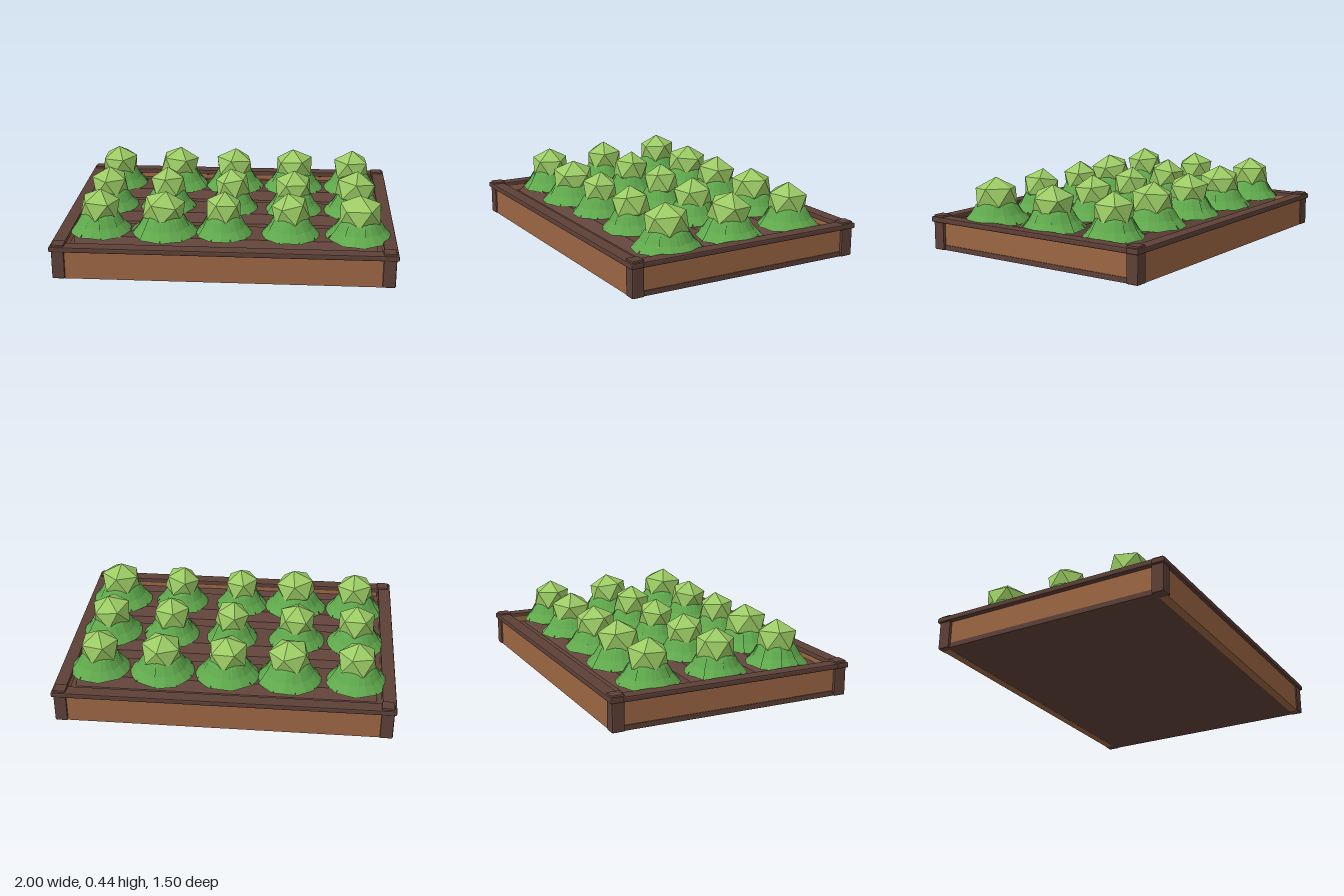
import * as THREE from 'three';
import { RoundedBoxGeometry } from 'three/addons/geometries/RoundedBoxGeometry.js';

const mat = (name, color, side = THREE.FrontSide) => {
  const m = new THREE.MeshStandardMaterial({ color, side, flatShading: true });
  m.name = name;
  return m;
};

export function createModel() {
  const group = new THREE.Group();
  group.name = 'vegetableBed';
  const timber = mat('dark timber', 0x5d4037);
  const plank = mat('plank wood', 0x9c6643);
  const soil = mat('soil', 0x60433a);
  const leaf = mat('outer leaf green', 0x5fa84c, THREE.DoubleSide);
  const head = mat('heart green', 0x9ccc65);

  let seed = 7;
  const rnd = () => (seed = (seed * 16807) % 2147483647) / 2147483647;
  const add = (name, geo, material, x = 0, y = 0, z = 0, parent = group) => {
    const m = new THREE.Mesh(geo, material);
    m.name = name;
    m.position.set(x, y, z);
    parent.add(m);
    return m;
  };
  const block = (name, w, h, d, material, x, y, z, r = 0.008) =>
    add(name, new RoundedBoxGeometry(w, h, d, 1, r), material, x, y, z);

  // Base, planks, top rails and corner posts
  add('base', new THREE.BoxGeometry(1.95, 0.03, 1.44), timber, 0, 0.016, 0);
  for (const s of [-1, 1]) {
    add('longPlank', new THREE.BoxGeometry(1.9, 0.178, 0.05), plank, 0, 0.089, s * 0.705);
    add('shortPlank', new THREE.BoxGeometry(0.05, 0.145, 1.4), plank, s * 0.945, 0.1025, 0);
    block('longRail', 2, 0.033, 0.08, timber, 0, 0.184, s * 0.71);
    block('shortRail', 0.08, 0.033, 1.36, timber, s * 0.96, 0.184, 0);
    for (const t of [-1, 1])
      block('cornerPost', 0.075, 0.212, 0.075, timber, s * 0.9505, 0.106, t * 0.7025);
  }

  // Soil bed with three tapered ridges
  add('soilBed', new THREE.BoxGeometry(1.87, 0.11, 1.37), soil, 0, 0.085, 0);
  const profile = new THREE.Shape([[-0.165, 0], [0.165, 0], [0.105, 0.05], [-0.105, 0.05]]
    .map(([x, y]) => new THREE.Vector2(x, y)));
  const ridge = new THREE.ExtrudeGeometry(profile, { depth: 1.78, bevelEnabled: false });
  ridge.translate(0, 0, -0.89).rotateY(Math.PI / 2);
  for (const z of [-0.42, 0, 0.42]) add('soilRidge', ridge, soil, 0, 0.135, z);

  // One drooping leaf: cross-sections of radius, height, half width
  const rows = [[0.085, 0.32, 0.04], [0.115, 0.285, 0.05], [0.145, 0.235, 0.06], [0.192, 0.188, 0.064]];
  const pos = [], index = [];
  rows.forEach(([r, y, w], i) => {
    for (const k of [-1, 0, 1]) pos.push(k * w, y - (k ? 0.006 : 0), k ? r * 0.955 : r);
    if (i) for (const k of [0, 1]) {
      const a = (i - 1) * 3 + k, b = i * 3 + k;
      index.push(a, b, b + 1, a, b + 1, a + 1);
    }
  });
  const leafGeo = new THREE.BufferGeometry();
  leafGeo.setAttribute('position', new THREE.Float32BufferAttribute(pos, 3));
  leafGeo.setIndex(index);
  leafGeo.computeVertexNormals();

  // Heart with a vertex pointing up, slightly flattened
  const heartGeo = new THREE.IcosahedronGeometry(0.135, 0);
  heartGeo.rotateZ(-Math.atan(2 / (1 + Math.sqrt(5)))).scale(1, 0.86, 1);

  // Plants: x, z, size
  const plants = [
    [-0.77, -0.43, 0.95], [-0.37, -0.43, 1], [-0.005, -0.425, 0.98], [0.39, -0.43, 1], [0.765, -0.425, 0.94],
    [-0.765, -0.005, 0.93], [-0.395, -0.01, 0.9], [0.01, -0.01, 0.86], [0.39, -0.005, 0.93], [0.775, -0.005, 1],
    [-0.755, 0.405, 0.95], [-0.37, 0.42, 1.02], [-0.015, 0.41, 0.87], [0.38, 0.41, 0.9], [0.79, 0.415, 1.03],
  ];
  for (const [x, z, s] of plants) {
    const plant = new THREE.Group();
    plant.name = 'cabbage';
    plant.position.set(x, 0, z);
    plant.scale.set(s, 1, s);
    plant.rotation.y = rnd() * 6.28;
    group.add(plant);
    for (let i = 0; i < 9; i++) {
      const l = add('outerLeaf', leafGeo, leaf, 0, 0, 0, plant);
      l.rotation.y = (i / 9) * Math.PI * 2;
      const k = 0.95 + rnd() * 0.08;
      l.scale.set(1, 1, k);
    }
    const h = add('heart', heartGeo, head, 0, 0.325, 0, plant);
    h.rotation.set((rnd() - 0.5) * 0.25, 0, (rnd() - 0.5) * 0.25);
  }
  return group;
}
